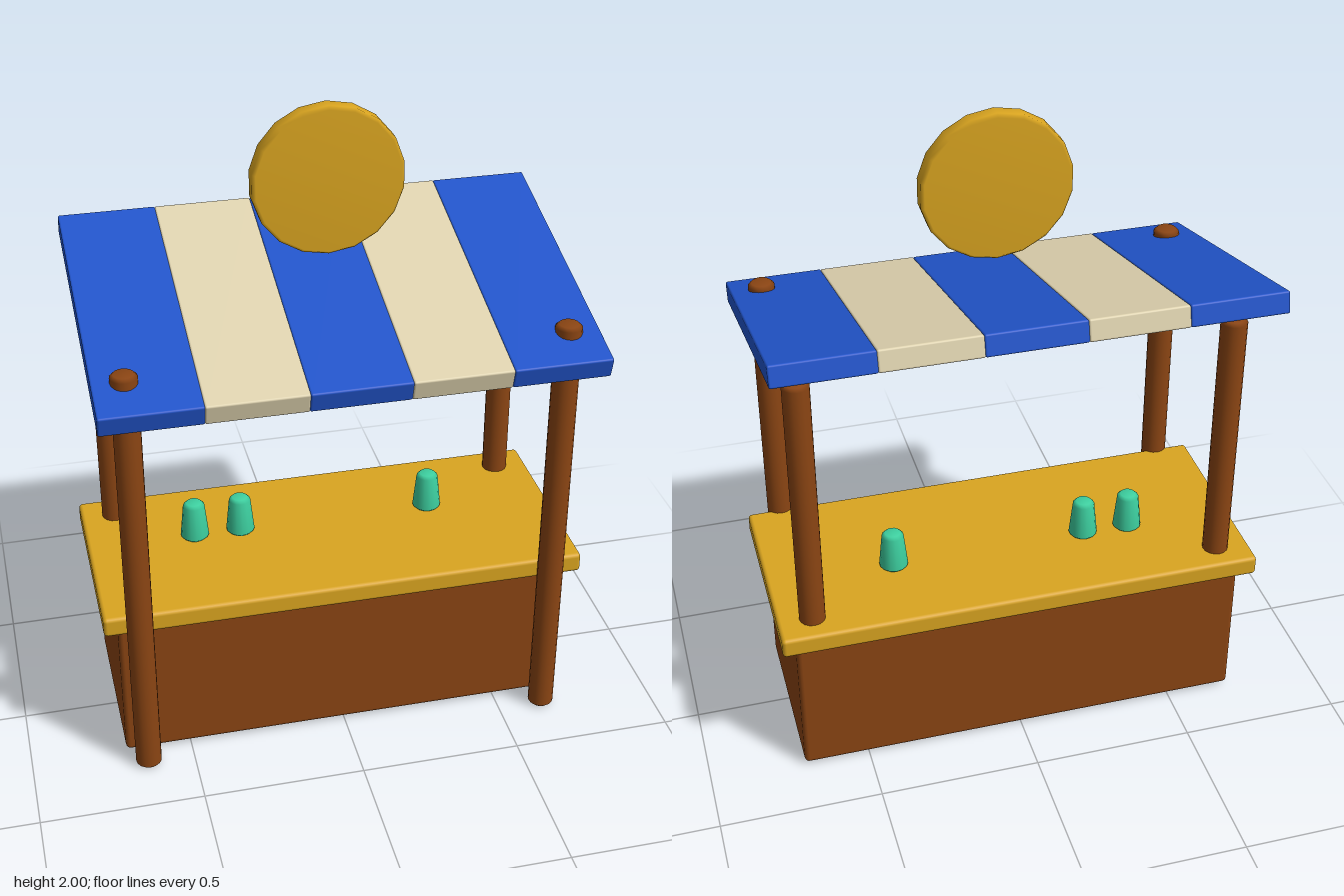
import * as THREE from 'three';
import { RoundedBoxGeometry } from 'three/addons/geometries/RoundedBoxGeometry.js';

const material = (name, color) => {
  const m = new THREE.MeshStandardMaterial({ color });
  m.name = name;
  return m;
};

// Solid of revolution with small bevelled rims, standing on y = 0
function bevelled(rBottom, rTop, height, bevel, sides) {
  const profile = [
    [0, 0], [rBottom - bevel, 0], [rBottom, bevel],
    [rTop, height - bevel], [rTop - bevel, height], [0, height],
  ].map(([r, y]) => new THREE.Vector2(r, y));
  return new THREE.LatheGeometry(profile, sides);
}

export function createModel() {
  const model = new THREE.Group();
  model.name = 'marketStall';

  const wood = material('brown wood', 0x8b4513);
  const gold = material('gold', 0xdaa520);
  const blue = material('blue', 0x2255cc);
  const cream = material('cream', 0xe0d4b0);
  const teal = material('teal', 0x3dd0a0);

  const add = (name, geometry, mat, x, y, z, parent = model) => {
    const mesh = new THREE.Mesh(geometry, mat);
    mesh.name = name;
    mesh.position.set(x, y, z);
    parent.add(mesh);
    return mesh;
  };

  // Counter and its overhanging top
  add('counter', new RoundedBoxGeometry(1.41, 0.5, 0.57, 2, 0.015), wood, 0, 0.26, -0.035);
  add('counterTop', new RoundedBoxGeometry(1.5, 0.064, 0.65, 2, 0.012), gold, 0, 0.522, -0.035);

  // Four posts; the front pair pokes through the awning
  const post = bevelled(0.04, 0.04, 1.39, 0.01, 16);
  for (const [side, x] of [['left', 0.643], ['right', -0.643]]) {
    add(side + 'FrontPost', post, wood, x, 0, 0.305);
    add(side + 'BackPost', post, wood, x, 0, -0.27);
  }

  // Striped awning sloping down to the front
  const awning = new THREE.Group();
  awning.name = 'awning';
  awning.position.y = 1.41;
  awning.rotation.x = 0.25;
  model.add(awning);
  const stripe = new RoundedBoxGeometry(0.295, 0.066, 0.89, 2, 0.006);
  for (let i = 0; i < 5; i++) {
    add('awningStripe' + (i + 1), stripe, i % 2 ? cream : blue, (i - 2) * 0.294, 0, 0, awning);
  }

  // Round sign facing the front
  const sign = add('roundSign', bevelled(0.225, 0.225, 0.06, 0.01, 18), gold, 0, 1.775, -0.03);
  sign.rotation.x = Math.PI / 2;

  // Tapered cups on the counter
  const cup = bevelled(0.045, 0.034, 0.128, 0.01, 14);
  [-0.41, -0.263, 0.353].forEach((x, i) => add('cup' + (i + 1), cup, teal, x, 0.552, -0.09));

  return model;
}
